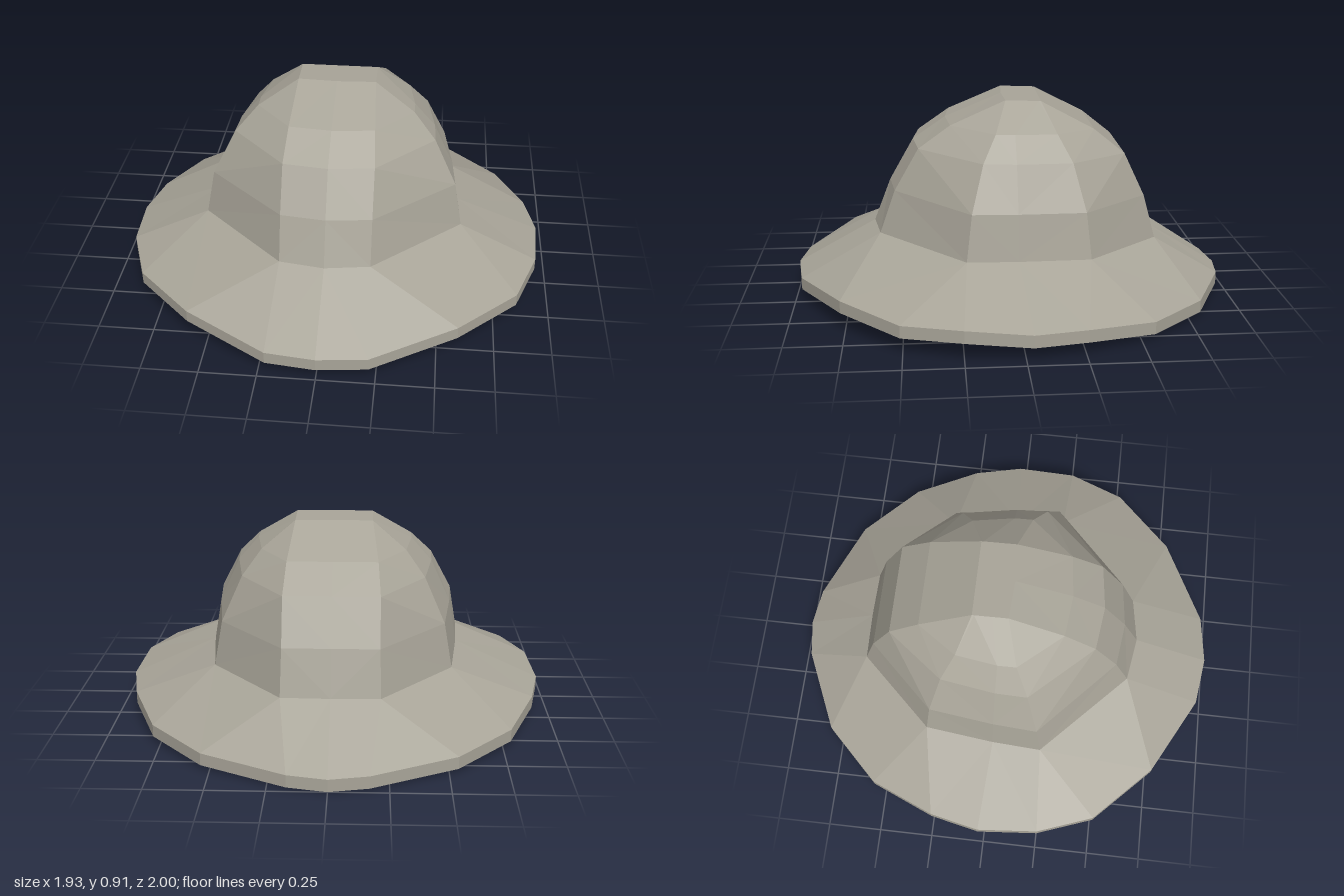
import * as THREE from 'three';

// Complete a half ring (front centre -> left side -> back centre) by mirroring in x.
function mirrorRing(half) {
  const other = half.slice(1, -1).reverse().map((p) => new THREE.Vector3(-p.x, p.y, p.z));
  return [...half, ...other];
}

// Triangles between two rings of equal length, split along the shorter diagonal;
// collapsed ones are skipped.
function loft(a, b) {
  const tris = [];
  const add = (p, q, r) => {
    if (!p.equals(q) && !q.equals(r) && !r.equals(p)) tris.push(p, q, r);
  };
  a.forEach((p, i) => {
    const j = (i + 1) % a.length;
    if (p.distanceTo(b[j]) < a[j].distanceTo(b[i])) {
      add(p, a[j], b[j]);
      add(p, b[j], b[i]);
    } else {
      add(p, a[j], b[i]);
      add(a[j], b[j], b[i]);
    }
  });
  return tris;
}

// Close a ring with a fan around its centre.
function cap(ring) {
  const centre = ring.reduce((s, p) => s.add(p), new THREE.Vector3()).divideScalar(ring.length);
  return loft(ring, ring.map(() => centre));
}

function facetedMesh(name, tris) {
  const geometry = new THREE.BufferGeometry().setFromPoints(tris);
  geometry.computeVertexNormals();
  const material = new THREE.MeshStandardMaterial({ color: 0xa8a498, flatShading: true });
  const mesh = new THREE.Mesh(geometry, material);
  mesh.name = name;
  return mesh;
}

// Crown levels: height at z = 0, then half outline as [x, z]; each level tilts down to the back.
const TILT = 0.038;
const LEVELS = [
  [0.286, [[0, 0.637], [0.2, 0.605], [0.59, 0.225], [0.575, 0], [0.535, -0.32], [0.215, -0.66], [0, -0.665]]],
  [0.487, [[0, 0.56], [0.2, 0.535], [0.555, 0.2], [0.54, 0], [0.5, -0.3], [0.21, -0.605], [0, -0.605]]],
  [0.684, [[0, 0.45], [0.2, 0.425], [0.455, 0.145], [0.45, 0], [0.41, -0.25], [0.21, -0.51], [0, -0.51]]],
  [0.792, [[0, 0.3], [0.19, 0.28], [0.355, 0.085], [0.355, 0], [0.325, -0.19], [0.2, -0.37], [0, -0.37]]],
  [0.909, [[0, 0.04], [0.175, 0.03], [0.175, 0.02], [0.175, -0.04], [0.175, -0.12], [0.175, -0.13], [0, -0.13]]],
];

// Brim rim, top edge: x, y, z and the crown corner it joins to.
const RIM = [
  [0, 0.11, 1, 0], [0.22, 0.105, 0.97, 1], [0.59, 0.135, 0.77, 1], [0.85, 0.125, 0.51, 2],
  [0.945, 0.135, 0.25, 2], [0.965, 0.115, -0.03, 3], [0.915, 0.11, -0.26, 4], [0.785, 0.08, -0.56, 4],
  [0.54, 0.07, -0.81, 5], [0.17, 0.06, -0.975, 5], [0, 0.055, -1, 6],
];
const RIM_THICKNESS = 0.055;
const INNER_THICKNESS = 0.1;
const INNER_SPREAD = 1.04;

export function createModel() {
  const hat = new THREE.Group();
  hat.name = 'hat';

  // Crown
  const halves = LEVELS.map(([y, pts]) => pts.map(([x, z]) => new THREE.Vector3(x, y + TILT * z, z)));
  const rings = halves.map(mirrorRing);
  const crown = cap(rings[rings.length - 1]);
  for (let i = 0; i < rings.length - 1; i++) crown.push(...loft(rings[i], rings[i + 1]));
  hat.add(facetedMesh('crown', crown));

  // Brim: sloping top, narrow edge, underside and flat inner panel
  const lower = (ring, drop, spread) =>
    ring.map((p) => new THREE.Vector3(p.x * spread, p.y - drop, p.z * spread));
  const outer = mirrorRing(RIM.map(([x, y, z]) => new THREE.Vector3(x, y, z)));
  const inner = mirrorRing(RIM.map((p) => halves[0][p[3]]));
  const outerLow = lower(outer, RIM_THICKNESS, 1);
  const innerLow = lower(inner, INNER_THICKNESS, INNER_SPREAD);
  hat.add(facetedMesh('brim', [
    ...loft(outer, inner),
    ...loft(outerLow, outer),
    ...loft(innerLow, outerLow),
  ]));
  hat.add(facetedMesh('innerPanel', cap(lower(rings[0], INNER_THICKNESS, INNER_SPREAD).reverse())));

  return hat;
}
